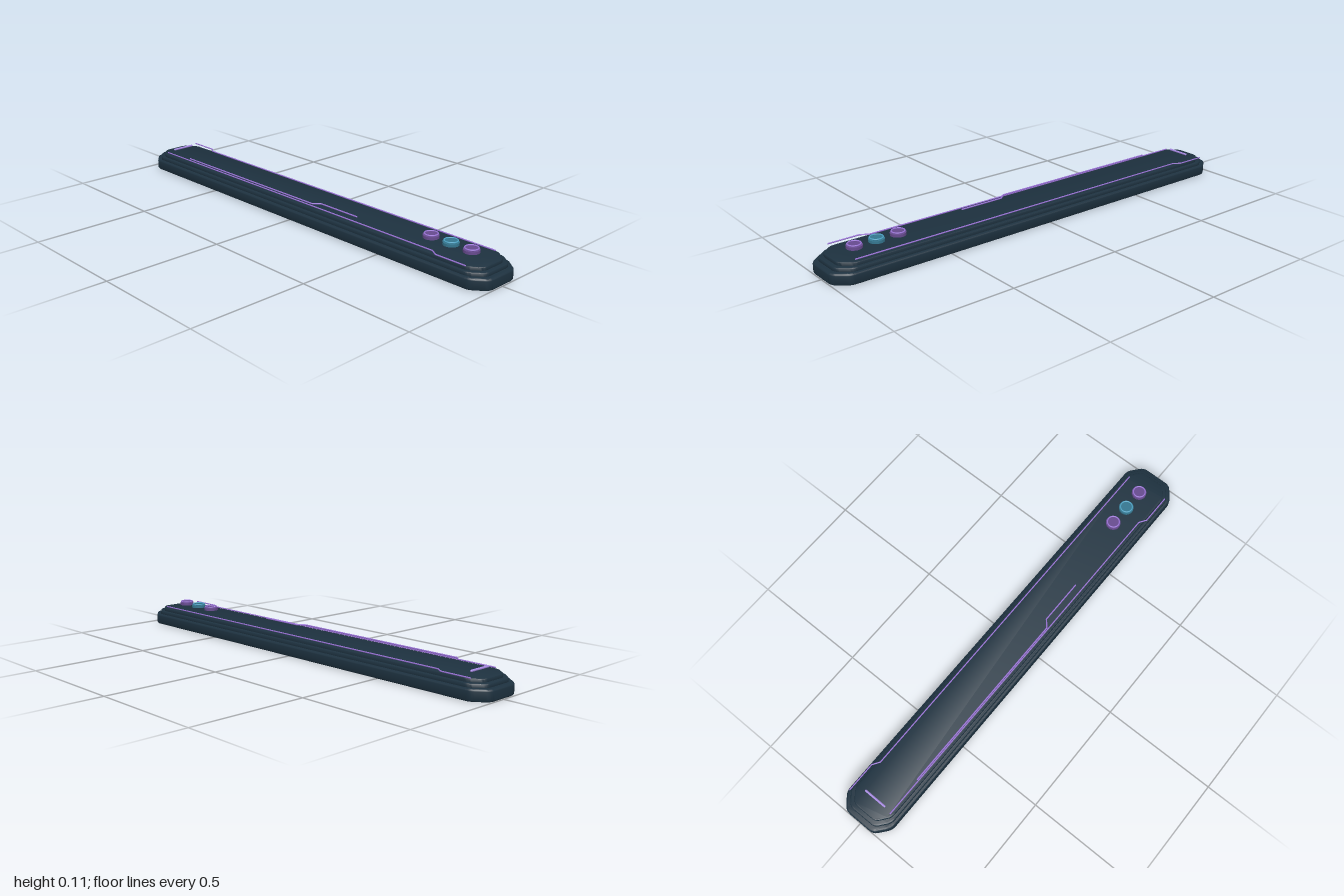
import * as THREE from 'three';
import { toCreasedNormals } from 'three/addons/utils/BufferGeometryUtils.js';

const mat = (name, color) => {
  const m = new THREE.MeshStandardMaterial({ color });
  m.name = name;
  return m;
};

export function createModel() {
  const group = new THREE.Group();
  const slate = mat('slate', 0x1d313f);
  const violet = mat('violet', 0x9670d2);
  const lilac = mat('lilac', 0xa78ae2);
  const plum = mat('plum', 0x664a8e);
  const teal = mat('teal', 0x34768f);
  const cyan = mat('cyan', 0x4a9fc0);

  const add = (name, geometry, material, x = 0, y = 0, z = 0) => {
    const mesh = new THREE.Mesh(geometry, material);
    mesh.name = name;
    mesh.position.set(x, y, z);
    group.add(mesh);
    return mesh;
  };

  // Long slab with softly cut corners and a rounded rim, between heights y0 and y1
  const slab = (name, hx, hz, cx, cz, y0, y1, bevel) => {
    const x = hx - bevel, z = hz - bevel;
    const corners = [
      [x, -z + cz], [x, z - cz], [x - cx, z], [-x + cx, z],
      [-x, z - cz], [-x, -z + cz], [-x + cx, -z], [x - cx, -z],
    ].map(([a, b]) => new THREE.Vector2(a, b));
    const shape = new THREE.Shape();
    corners.forEach((p, i) => {
      const toward = (q) => p.clone().add(q.clone().sub(p).setLength(0.016));
      const from = toward(corners[(i + 7) % 8]), to = toward(corners[(i + 1) % 8]);
      if (i === 0) shape.moveTo(from.x, from.y);
      else shape.lineTo(from.x, from.y);
      shape.quadraticCurveTo(p.x, p.y, to.x, to.y);
    });
    shape.closePath();
    const geometry = new THREE.ExtrudeGeometry(shape, {
      depth: y1 - y0 - 2 * bevel, curveSegments: 4, bevelEnabled: true,
      bevelSize: bevel, bevelThickness: bevel, bevelSegments: 4,
    });
    geometry.rotateX(-Math.PI / 2);
    add(name, toCreasedNormals(geometry, 0.6), slate, 0, y0 + bevel, 0);
  };
  slab('base', 1, 0.12, 0.055, 0.045, 0, 0.048, 0.009);
  slab('middleStep', 0.978, 0.109, 0.052, 0.042, 0.04, 0.063, 0.005);
  slab('topPanel', 0.96, 0.097, 0.05, 0.04, 0.055, 0.077, 0.004);

  // Thin round-ended rods joined along an x,z path at height y
  const line = (name, points, radius, y, material) => {
    for (let i = 1; i < points.length; i++) {
      const a = new THREE.Vector3(points[i - 1][0], y, points[i - 1][1]);
      const b = new THREE.Vector3(points[i][0], y, points[i][1]);
      const rod = add(name, new THREE.CapsuleGeometry(radius, a.distanceTo(b), 4, 16), material);
      rod.position.copy(a).add(b).multiplyScalar(0.5);
      rod.quaternion.setFromUnitVectors(new THREE.Vector3(0, 1, 0), b.sub(a).normalize());
    }
  };
  // Hovering edge lines, each stepping outwards near one end
  line('backEdgeLine', [[-0.93, -0.104], [-0.8, -0.104], [-0.77, -0.084], [0.9, -0.084]],
    0.0027, 0.083, violet);
  line('frontEdgeLine', [[-0.9, 0.084], [0.745, 0.084], [0.775, 0.104], [0.91, 0.104]],
    0.0027, 0.083, violet);
  // Circuit line
  line('circuitLine', [[-0.73, 0.079], [0.1, 0.079], [0.13, 0.053], [0.33, 0.053]],
    0.003, 0.09, violet);
  // Crosswise light bar
  line('lightBar', [[-0.893, -0.049], [-0.893, 0.049]], 0.0045, 0.092, lilac);

  // Three round buttons, each a disc below a thin ring
  [[0.667, plum, violet], [0.762, teal, cyan], [0.857, plum, violet]].forEach(([x, discColor, ringColor], i) => {
    add(`buttonDisc${i + 1}`, new THREE.CylinderGeometry(0.032, 0.032, 0.011, 32), discColor, x, 0.0945, 0);
    add(`buttonRing${i + 1}`, new THREE.TorusGeometry(0.026, 0.003, 16, 40).rotateX(Math.PI / 2), ringColor, x, 0.105, 0);
  });
  return group;
}
